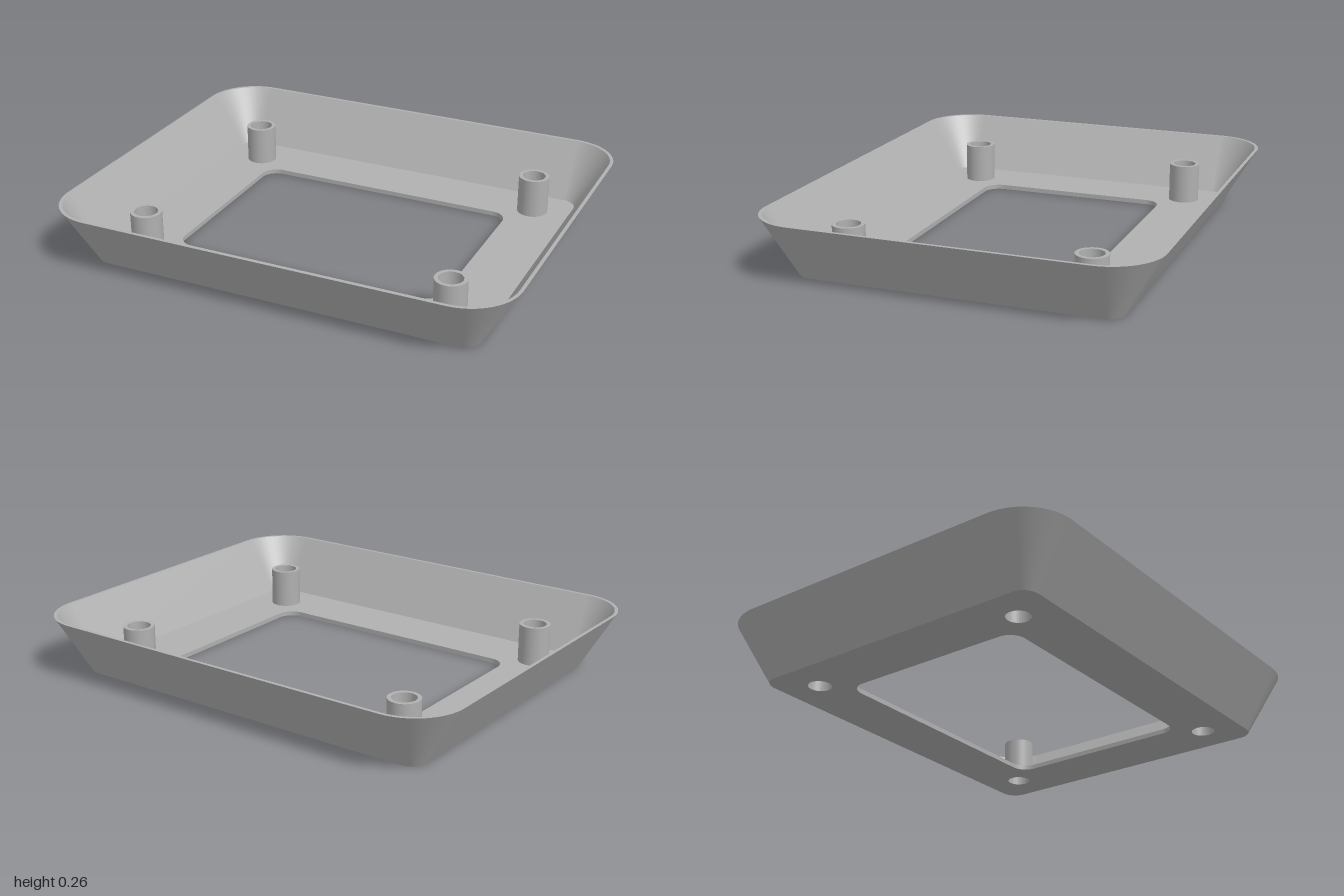
import * as THREE from 'three';
import { mergeGeometries } from 'three/addons/utils/BufferGeometryUtils.js';

const CX = 0.78, CZ = 0.607;      // corner arc centres of the tray
const FLOOR = 0.02, RIM = 0.257;  // floor thickness and rim height
const ARC = 16;                   // segments per corner

// Sweeps a profile of [radius, height] around a rounded rectangle (a circle when cx = cz = 0).
// Every profile segment has its own normals, so its edges stay sharp.
function sweep(profile, cx, cz) {
  const loop = [];
  for (let q = 0; q < 4; q++) {
    const sx = q === 0 || q === 3 ? 1 : -1, sz = q < 2 ? 1 : -1;
    for (let i = 0; i <= ARC; i++) {
      if (cx === 0 && i === ARC) continue;
      const a = (q + i / ARC) * Math.PI / 2;
      loop.push({ x: sx * cx, z: sz * cz, c: Math.cos(a), s: Math.sin(a) });
    }
  }
  const bands = [];
  for (let k = 0; k < profile.length - 1; k++) {
    const [r0, y0] = profile[k], [r1, y1] = profile[k + 1];
    const len = Math.hypot(r1 - r0, y1 - y0);
    const nr = (y1 - y0) / len, ny = (r0 - r1) / len;
    const pos = [], nor = [], idx = [];
    loop.forEach((p, i) => {
      for (const [r, y] of [[r0, y0], [r1, y1]]) {
        pos.push(p.x + r * p.c, y, p.z + r * p.s);
        nor.push(nr * p.c, ny, nr * p.s);
      }
      const a = i * 2, b = ((i + 1) % loop.length) * 2;
      idx.push(a, a + 1, b, a + 1, b + 1, b);
    });
    const g = new THREE.BufferGeometry();
    g.setAttribute('position', new THREE.Float32BufferAttribute(pos, 3));
    g.setAttribute('normal', new THREE.Float32BufferAttribute(nor, 3));
    g.setIndex(idx);
    bands.push(g);
  }
  return mergeGeometries(bands);
}

// Draws a rounded rectangle from its half sizes and corner radius.
function roundedRect(path, w, d, r) {
  const x = w - r, y = d - r, h = Math.PI / 2;
  path.absarc(x, y, r, 0, h);
  path.absarc(-x, y, r, h, 2 * h);
  path.absarc(-x, -y, r, 2 * h, 3 * h);
  path.absarc(x, -y, r, 3 * h, 4 * h);
  path.closePath();
  return path;
}

export function createModel() {
  const model = new THREE.Group();
  model.name = 'flaredTray';
  const grey = new THREE.MeshStandardMaterial({ color: 0xb0b0b0 });
  grey.name = 'plain grey';

  const add = (name, geometry) => {
    const mesh = new THREE.Mesh(geometry, grey);
    mesh.name = name;
    model.add(mesh);
    return mesh;
  };

  // Flared wall: bottom edge, outside, rim, inside
  add('flaredWall', sweep(
    [[0.065, 0], [0.07, 0], [0.22, RIM], [0.205, RIM], [0.065, FLOOR]], CX, CZ));

  // Floor plate with the large window and four screw holes
  const postX = 0.683, postZ = 0.512, holeR = 0.05;
  const corners = [[1, 1], [-1, 1], [-1, -1], [1, -1]];
  const plate = roundedRect(new THREE.Shape(), CX + 0.065, CZ + 0.065, 0.065);
  plate.holes.push(roundedRect(new THREE.Path(), 0.597, 0.425, 0.07));
  for (const [sx, sz] of corners) {
    plate.holes.push(new THREE.Path().absarc(sx * postX, sz * postZ, holeR, 0, Math.PI * 2));
  }
  const floor = new THREE.ExtrudeGeometry(plate, { depth: FLOOR, bevelEnabled: false, curveSegments: ARC });
  floor.rotateX(-Math.PI / 2);
  add('floorPlate', floor);

  // Hollow screw posts
  const post = sweep([[0.067, FLOOR], [0.067, 0.19], [holeR, 0.19], [holeR, FLOOR]], 0, 0);
  corners.forEach(([sx, sz], i) => {
    add('screwPost' + (i + 1), post).position.set(sx * postX, 0, sz * postZ);
  });

  return model;
}
